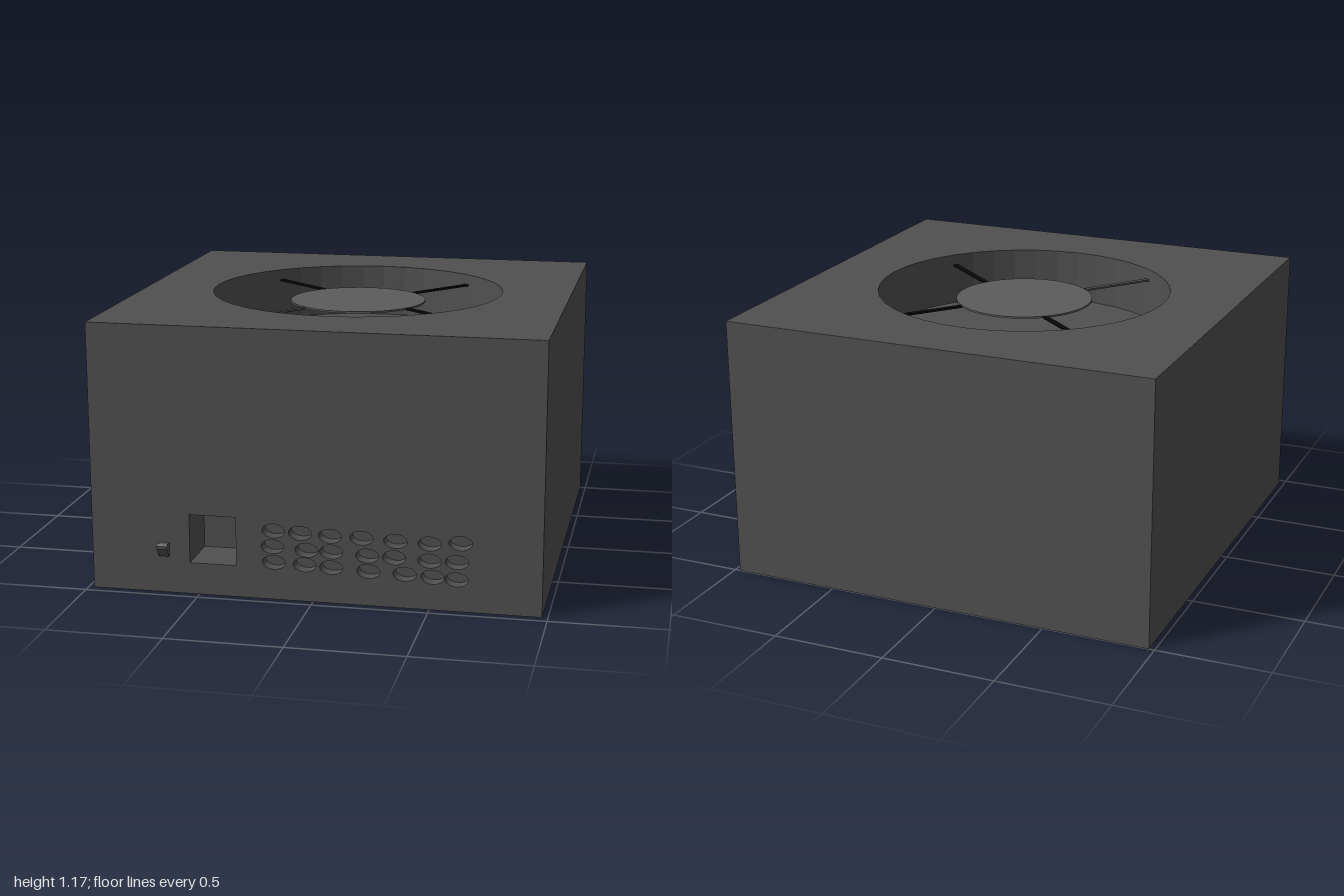
import * as THREE from 'three';

const W = 1.95, H = 1.175, BACK = -1, FRONT = 0.96, D = FRONT - BACK, MID = (FRONT + BACK) / 2;

const caseMat = new THREE.MeshStandardMaterial({ color: 0x505050, flatShading: true });
const hubMat = new THREE.MeshStandardMaterial({ color: 0x5c5c5c });
const blackMat = new THREE.MeshStandardMaterial({ color: 0x0a0a0a });

function add(parent, name, geometry, material, x = 0, y = 0, z = 0) {
  const mesh = new THREE.Mesh(geometry, material);
  mesh.name = name;
  mesh.position.set(x, y, z);
  parent.add(mesh);
  return mesh;
}

// Counter-clockwise outlines
const rect = (x0, y0, x1, y1) =>
  [[x0, y0], [x1, y0], [x1, y1], [x0, y1]].map(p => new THREE.Vector2(...p));

function ellipse(cx, cy, rx, ry, n) {
  return Array.from({ length: n }, (_, i) => {
    const a = (i / n) * Math.PI * 2;
    return new THREE.Vector2(cx + rx * Math.cos(a), cy + ry * Math.sin(a));
  });
}

// Inward-facing wall going back from an outline
function wallGeometry(outline, depth) {
  const v = [];
  outline.forEach((p, i) => {
    const q = outline[(i + 1) % outline.length];
    v.push(p.x, p.y, 0, q.x, q.y, 0, q.x, q.y, -depth);
    v.push(p.x, p.y, 0, q.x, q.y, -depth, p.x, p.y, -depth);
  });
  const g = new THREE.BufferGeometry();
  g.setAttribute('position', new THREE.Float32BufferAttribute(v, 3));
  g.computeVertexNormals();
  return g;
}

// Flat panel with blind recesses, facing local +z
function panel(name, outline, recesses) {
  const group = new THREE.Group();
  group.name = name;
  const face = new THREE.Shape(outline);
  recesses.forEach(r => face.holes.push(new THREE.Path(r.outline)));
  add(group, name + 'Face', new THREE.ShapeGeometry(face), caseMat);
  recesses.forEach(r => {
    add(group, r.name + 'Wall', wallGeometry(r.outline, r.depth), caseMat);
    add(group, r.name + 'Floor', new THREE.ShapeGeometry(new THREE.Shape(r.outline)), caseMat, 0, 0, -r.depth);
  });
  return group;
}

export function createModel() {
  const model = new THREE.Group();
  model.name = 'fanBox';

  // Front: power socket and three hand-placed rows of vents
  const vents = [
    [[-0.17, 0.305], [-0.055, 0.302], [0.075, 0.297], [0.21, 0.297], [0.355, 0.292], [0.5, 0.29], [0.63, 0.3]],
    [[-0.175, 0.235], [-0.027, 0.228], [0.08, 0.228], [0.235, 0.22], [0.35, 0.22], [0.5, 0.215], [0.615, 0.217]],
    [[-0.17, 0.165], [-0.035, 0.163], [0.08, 0.158], [0.24, 0.152], [0.395, 0.15], [0.514, 0.145], [0.615, 0.14]],
  ].flat().map(([x, y]) => ({ name: 'vent', outline: ellipse(x, y, 0.05, 0.031, 20), depth: 0.06 }));
  const socket = { name: 'socket', outline: rect(-0.54, 0.14, -0.335, 0.355), depth: 0.23 };
  const front = panel('frontPanel', rect(-W / 2, 0, W / 2, H), [socket, ...vents]);
  front.position.z = FRONT;
  model.add(front);

  // Top: round fan well
  const well = { name: 'fanWell', outline: ellipse(0, 0.022, 0.665, 0.66, 40), depth: 0.24 };
  const top = panel('topPanel', rect(-W / 2, -FRONT, W / 2, -BACK), [well]);
  top.rotation.x = -Math.PI / 2;
  top.position.y = H;
  model.add(top);

  // Plain sides, back and bottom
  for (const s of [-1, 1]) {
    add(model, s > 0 ? 'leftPanel' : 'rightPanel', new THREE.PlaneGeometry(D, H), caseMat, s * W / 2, H / 2, MID)
      .rotation.y = s * Math.PI / 2;
  }
  add(model, 'backPanel', new THREE.PlaneGeometry(W, H), caseMat, 0, H / 2, BACK).rotation.y = Math.PI;
  add(model, 'bottomPanel', new THREE.PlaneGeometry(W, D), caseMat, 0, 0, MID).rotation.x = Math.PI / 2;

  // Fan hub and its four struts
  add(model, 'fanHub', new THREE.CylinderGeometry(0.31, 0.31, 0.008, 40), hubMat, 0, 1.126, -0.022);
  [
    [-0.475, -0.49, -0.2, -0.255, blackMat],
    [0.435, -0.52, 0.21, -0.245, blackMat],
    [0.53, 0.37, 0.26, 0.143, blackMat],
    [-0.415, 0.49, -0.205, 0.22, caseMat],
  ].forEach(([x0, z0, x1, z1, mat]) => {
    const length = Math.hypot(x1 - x0, z1 - z0);
    add(model, 'fanStrut', new THREE.BoxGeometry(length, 0.008, 0.024), mat, (x0 + x1) / 2, 1.124, (z0 + z1) / 2)
      .rotation.y = -Math.atan2(z1 - z0, x1 - x0);
  });

  // Rocker switch: side profile in (z, y) extruded across x
  const profile = [[0, 0.165], [0.01, 0.165], [0.04, 0.205], [0.04, 0.218], [0.03, 0.225], [0, 0.225]];
  const rocker = new THREE.ExtrudeGeometry(
    new THREE.Shape(profile.map(p => new THREE.Vector2(...p))), { depth: 0.045, bevelEnabled: false });
  add(model, 'switch', rocker, caseMat, -0.63, 0, FRONT).rotation.y = -Math.PI / 2;

  return model;
}
